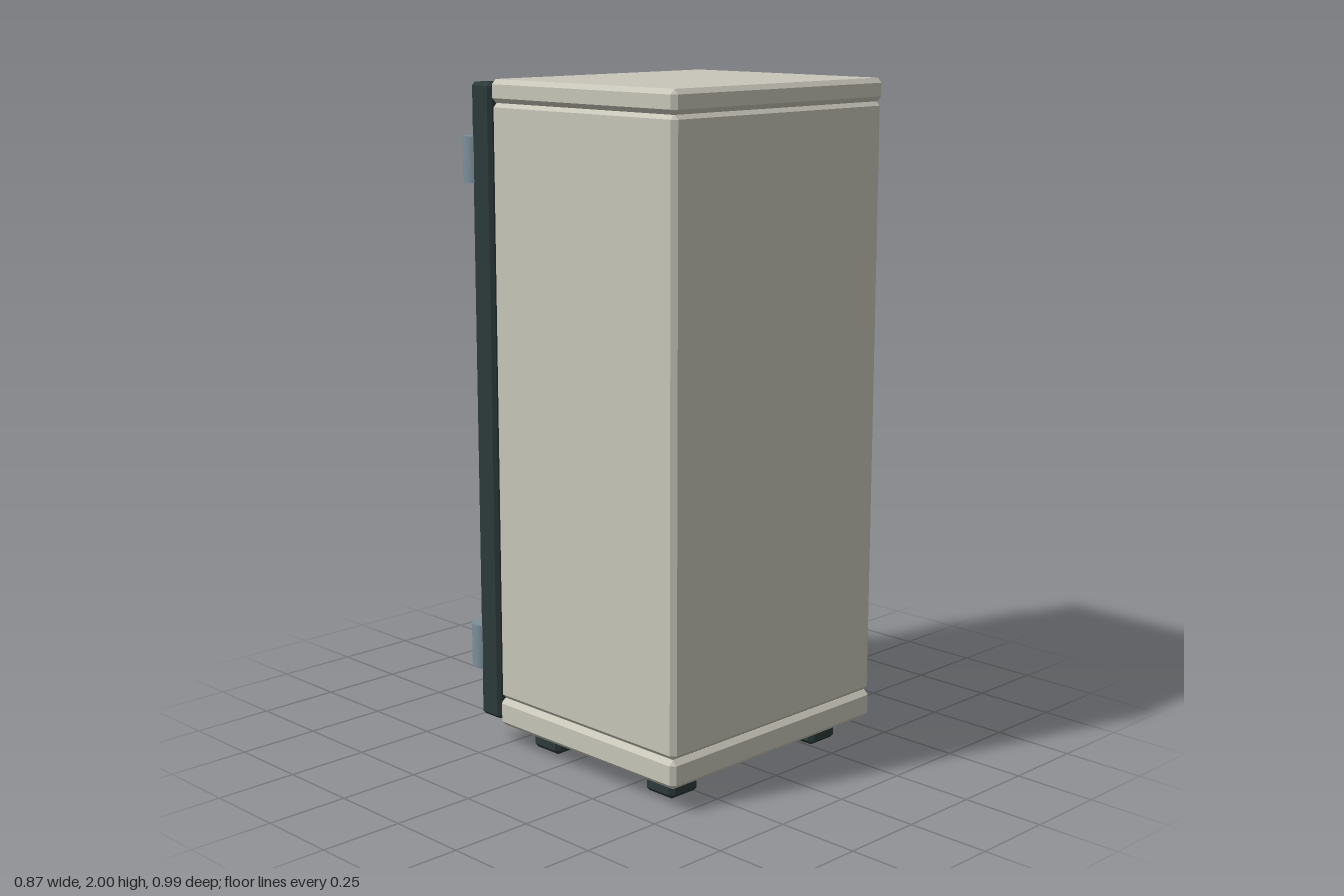
import * as THREE from 'three';
import { ConvexGeometry } from 'three/addons/geometries/ConvexGeometry.js';

const mat = (color) => new THREE.MeshStandardMaterial({ color, flatShading: true });

// Box with chamfered edges, given by its low and high limits on each axis
function chamferBox([x0, x1], [y0, y1], [z0, z1], c) {
  const h = [(x1 - x0) / 2, (y1 - y0) / 2, (z1 - z0) / 2];
  const points = [];
  for (const sx of [-1, 1]) for (const sy of [-1, 1]) for (const sz of [-1, 1]) {
    for (let full = 0; full < 3; full++) {
      const [x, y, z] = h.map((v, i) => (i === full ? v : v - c));
      points.push(new THREE.Vector3(sx * x, sy * y, sz * z));
    }
  }
  return new ConvexGeometry(points).translate((x0 + x1) / 2, (y0 + y1) / 2, (z0 + z1) / 2);
}

export function createModel() {
  const model = new THREE.Group();
  model.name = 'locker';
  const cream = mat(0xc8c6b9), dark = mat(0x2c3939), copper = mat(0xb07a52);
  const steel = mat(0x7c8f9a), navy = mat(0x1b2a33);

  const add = (name, geometry, material, parent = model) => {
    const mesh = new THREE.Mesh(geometry, material);
    mesh.name = name;
    parent.add(mesh);
    return mesh;
  };
  const box = (name, x, y, z, c, material, parent) =>
    add(name, chamferBox(x, y, z, c), material, parent);
  const group = (name) => {
    const g = new THREE.Group();
    g.name = name;
    model.add(g);
    return g;
  };

  // Cabinet: base, body and cap with narrow seams between them
  const cabinet = group('cabinet');
  const wide = [-0.423, 0.433], deep = [-0.245, 0.495];
  box('base', wide, [0.07, 0.155], deep, 0.014, cream, cabinet);
  box('body', [-0.42, 0.43], [0.155, 1.935], [-0.243, 0.493], 0.014, cream, cabinet);
  box('cap', wide, [1.933, 2], deep, 0.014, cream, cabinet);

  // Feet
  const feet = group('feet');
  for (const x of [-0.295, 0.305]) for (const z of [-0.118, 0.363]) {
    box('foot', [x - 0.057, x + 0.057], [0, 0.075], [z - 0.057, z + 0.057], 0.013, dark, feet);
  }

  // Door frame: two posts and two rails
  const frame = group('doorFrame');
  for (const x of [-0.388, 0.398]) {
    box('post', [x - 0.038, x + 0.038], [0.087, 1.99], [-0.325, -0.24], 0.01, dark, frame);
  }
  for (const y of [0.135, 1.938]) {
    box('rail', [-0.36, 0.37], [y - 0.038, y + 0.038], [-0.323, -0.242], 0.01, dark, frame);
  }

  // Door slab and the name plate
  box('door', [-0.325, 0.335], [0.18, 1.88], [-0.38, -0.235], 0.02, cream);
  box('namePlate', [-0.274, 0.285], [1.425, 1.575], [-0.405, -0.389], 0.004, copper);

  // Lock panel with two raised bars
  const lock = group('lockPanel');
  box('panel', [-0.255, -0.045], [1.01, 1.215], [-0.405, -0.387], 0.005, navy, lock);
  for (const x of [-0.167, -0.115]) {
    box('lockBar', [x - 0.006, x + 0.006], [1.05, 1.17], [-0.427, -0.405], 0.003, steel, lock);
  }

  // Handle: two mounts joined by an upright grip
  const handle = group('handle');
  for (const y of [0.907, 1.168]) {
    box('mount', [0.171, 0.235], [y - 0.033, y + 0.033], [-0.47, -0.375], 0.012, steel, handle);
  }
  box('grip', [0.184, 0.222], [0.885, 1.185], [-0.498, -0.458], 0.008, steel, handle);

  // Vent bars
  const vents = group('vents');
  for (let i = 0; i < 4; i++) {
    const y = 0.285 + i * 0.04;
    box('vent', [-0.2, 0.21], [y - 0.01, y + 0.01], [-0.401, -0.381], 0.005, navy, vents);
  }

  // Hinges
  const hinges = group('hinges');
  const smoothSteel = new THREE.MeshStandardMaterial({ color: 0x7c8f9a });
  for (const y of [0.3, 1.768]) {
    add('hinge', new THREE.CylinderGeometry(0.036, 0.036, 0.134, 20), smoothSteel, hinges)
      .position.set(-0.4, y, -0.337);
  }

  return model;
}
